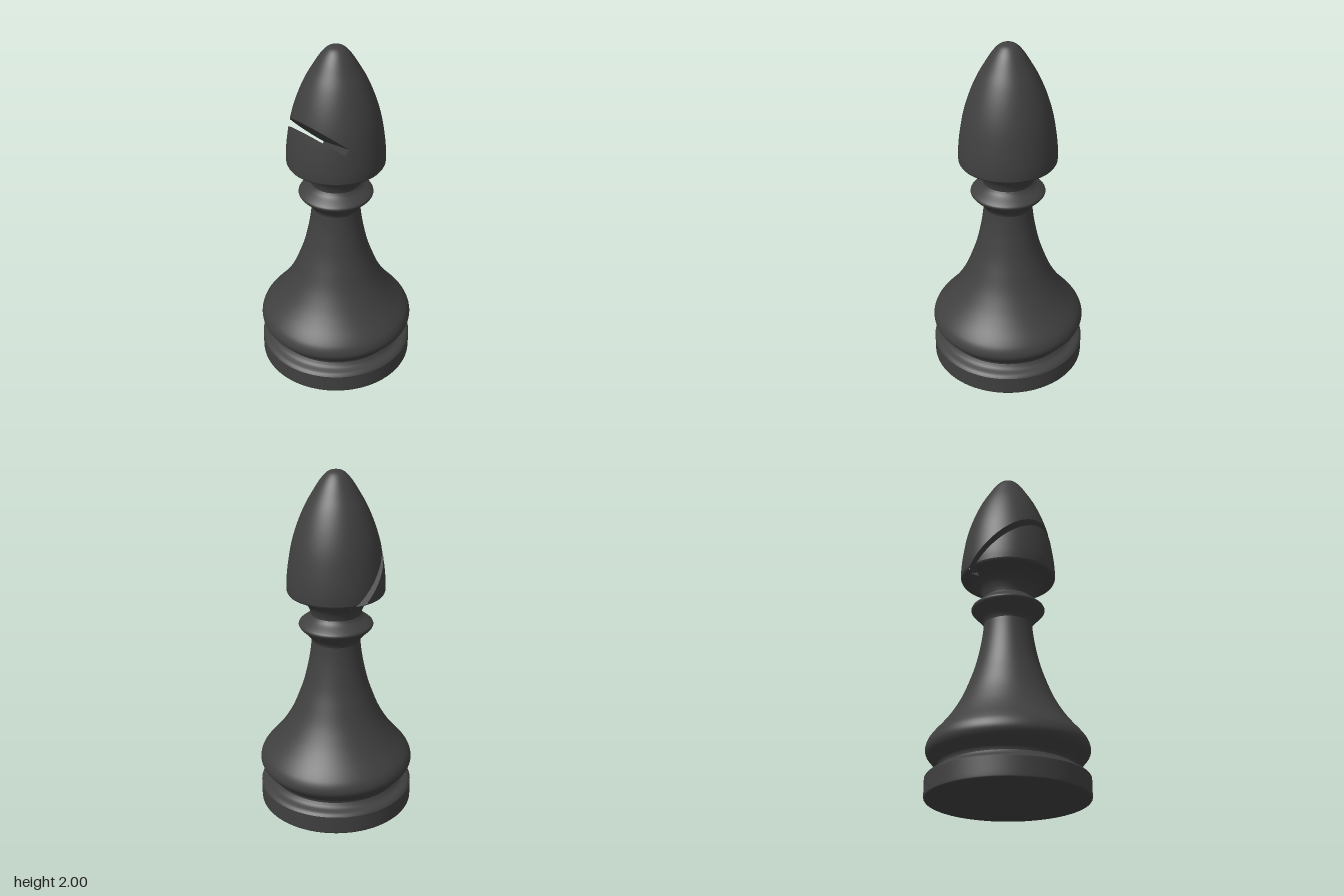
import * as THREE from 'three';

const SEGMENTS = 96;

// Smooth profile curve through [radius, height] points, listed upwards
const profile = (pts, n) =>
  new THREE.SplineCurve(pts.map(([r, y]) => new THREE.Vector2(r, y))).getPoints(n)
    .map((p) => p.setX(Math.max(p.x, 0)));

// Keep the part of a polygon of {p, n} corners where side(p) >= 0
function clip(poly, side) {
  const out = [];
  poly.forEach((a, i) => {
    const b = poly[(i + 1) % poly.length];
    const da = side(a.p), db = side(b.p);
    if (da >= 0) out.push(a);
    if ((da >= 0) !== (db >= 0)) {
      const t = da / (da - db);
      out.push({ p: a.p.clone().lerp(b.p, t), n: a.n.clone().lerp(b.n, t).normalize() });
    }
  });
  return out;
}

// Collects polygons into a geometry
function polygonSoup() {
  const pos = [], nor = [];
  return {
    add(poly) {
      for (let i = 1; i + 1 < poly.length; i++) {
        for (const v of [poly[0], poly[i], poly[i + 1]]) {
          pos.push(...v.p.toArray());
          nor.push(...v.n.toArray());
        }
      }
    },
    // Flat polygon turned to face the given normal
    addFlat(points, normal, side) {
      const e1 = points[1].clone().sub(points[0]);
      const e2 = points[2].clone().sub(points[0]);
      const ordered = e1.cross(e2).dot(normal) < 0 ? [...points].reverse() : points;
      const poly = ordered.map((p) => ({ p, n: normal }));
      this.add(side ? clip(poly, side) : poly);
    },
    build() {
      const g = new THREE.BufferGeometry();
      g.setAttribute('position', new THREE.Float32BufferAttribute(pos, 3));
      g.setAttribute('normal', new THREE.Float32BufferAttribute(nor, 3));
      return g;
    },
  };
}

export function createModel() {
  const group = new THREE.Group();
  const charcoal = new THREE.MeshStandardMaterial({ color: 0x404040 });
  charcoal.name = 'charcoal';
  const add = (name, geometry) => {
    const mesh = new THREE.Mesh(geometry, charcoal);
    mesh.name = name;
    group.add(mesh);
  };
  const turned = (name, pts, n) => add(name, new THREE.LatheGeometry(profile(pts, n), SEGMENTS));

  // Foot: shallow cone underneath, straight rim, curved ledge
  turned('underside', [[0, 0], [0.03, 0.016], [0.43, 0.033]], 8);
  turned('footRim', [[0.43, 0.033], [0.438, 0.038], [0.44, 0.05], [0.44, 0.1], [0.44, 0.143]], 12);
  turned('footLedge', [[0.44, 0.143], [0.425, 0.158], [0.39, 0.172], [0.372, 0.195]], 12);

  // Body: bulging skirt sweeping up into the stem
  turned('body', [[0.372, 0.195], [0.378, 0.213], [0.4, 0.235], [0.43, 0.268], [0.44, 0.3],
    [0.43, 0.338], [0.405, 0.375], [0.35, 0.44], [0.3, 0.51], [0.25, 0.6], [0.21, 0.7],
    [0.18, 0.79], [0.155, 0.9], [0.142, 0.98], [0.136, 1.04]], 60);

  // Collar ring
  turned('collar', [[0.136, 1.04], [0.145, 1.06], [0.17, 1.09], [0.2, 1.12], [0.207, 1.138],
    [0.19, 1.155], [0.155, 1.18], [0.14, 1.2]], 28);

  // Head: flared neck and pointed dome
  const neckPts = profile([[0.14, 1.2], [0.147, 1.225], [0.165, 1.26], [0.2, 1.295],
    [0.245, 1.318], [0.263, 1.324], [0.27, 1.336]], 20);
  const domePts = profile([[0.27, 1.336], [0.27, 1.39], [0.261, 1.48], [0.24, 1.6], [0.207, 1.71],
    [0.165, 1.81], [0.12, 1.89], [0.085, 1.945], [0.055, 1.98], [0.03, 1.995], [0, 2]], 56);
  const headPts = [...neckPts, ...domePts.slice(1)];
  const radiusAt = (y) => {
    const i = headPts.findIndex((p) => p.y >= y);
    if (i < 1) return 0;
    const a = headPts[i - 1], b = headPts[i];
    return THREE.MathUtils.lerp(a.x, b.x, (y - a.y) / (b.y - a.y));
  };
  // Walk a ray from inside the head to its surface
  const exit = (from, dir) => {
    const at = (t) => from.clone().addScaledVector(dir, t);
    const inside = (p) => Math.hypot(p.x, p.z) < radiusAt(p.y);
    let t = 0;
    while (t < 1 && inside(at(t + 0.005))) t += 0.005;
    let lo = t, hi = t + 0.005;
    for (let k = 0; k < 14; k++) {
      const mid = (lo + hi) / 2;
      if (inside(at(mid))) lo = mid; else hi = mid;
    }
    return at(lo);
  };

  // Slanted slot: a slab around the plane y = 1.39 + sx*x + sz*z, closed at one end
  const sx = -0.28, sz = 0.9, half = 0.0195;
  const centre = new THREE.Vector3(0, 1.39, 0);
  const up = new THREE.Vector3(-sx, 1, -sz).normalize();
  const through = new THREE.Vector3(1, sx + sz, 1).normalize();
  const across = up.clone().cross(through);
  const endAt = across.dot(new THREE.Vector3(0.163, 1.505, 0.19).sub(centre));
  const height = (p) => up.dot(p) - up.dot(centre);
  const above = (p) => height(p) - half;
  const below = (p) => -half - height(p);
  const pastEnd = (p) => across.dot(p) - across.dot(centre) - endAt;
  const beforeEnd = (p) => -pastEnd(p);

  // Outer skin with the slot taken out
  for (const [name, pts] of [['neck', neckPts], ['head', domePts]]) {
    const soup = polygonSoup();
    const g = new THREE.LatheGeometry(pts, SEGMENTS);
    const { position, normal } = g.attributes;
    const corner = (i) => ({
      p: new THREE.Vector3().fromBufferAttribute(position, i),
      n: new THREE.Vector3().fromBufferAttribute(normal, i),
    });
    for (let i = 0; i < g.index.count; i += 3) {
      const tri = [0, 1, 2].map((k) => corner(g.index.getX(i + k)));
      soup.add(clip(tri, above));
      soup.add(clip(tri, below));
      const middle = clip(clip(tri, (p) => -above(p)), (p) => -below(p));
      soup.add(clip(middle, pastEnd));
    }
    add(name, soup.build());
  }

  // Slot walls: roof, floor and closed end
  const walls = polygonSoup();
  const endCorners = [];
  for (const s of [1, -1]) {
    const hub = centre.clone().add(new THREE.Vector3(0, (s * half) / up.y, 0));
    const ring = [];
    for (let i = 0; i <= 144; i++) {
      const a = (i / 144) * Math.PI * 2;
      const x = Math.cos(a), z = Math.sin(a);
      ring.push(exit(hub, new THREE.Vector3(x, sx * x + sz * z, z).normalize()));
    }
    const facing = up.clone().multiplyScalar(-s);
    for (let i = 0; i < 144; i++) walls.addFlat([hub, ring[i], ring[i + 1]], facing, beforeEnd);
    const mid = centre.clone().addScaledVector(up, s * half).addScaledVector(across, endAt);
    const ends = [exit(mid, through), exit(mid, through.clone().negate())];
    endCorners.push(...(s > 0 ? ends : ends.reverse()));
  }
  walls.addFlat(endCorners, across.clone().negate());
  add('slotWalls', walls.build());

  return group;
}
